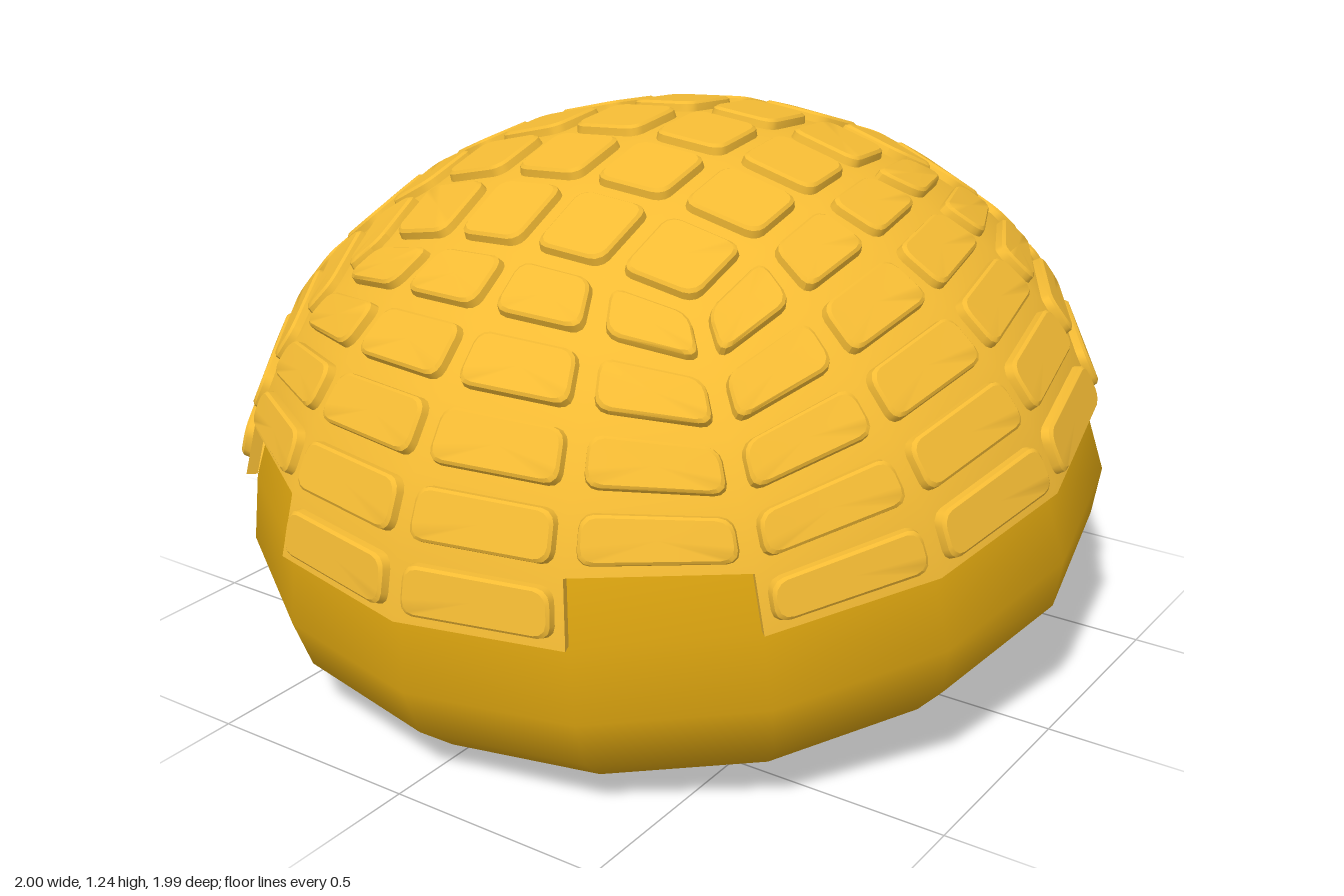
import * as THREE from 'three';
import { mergeVertices, toCreasedNormals } from 'three/addons/utils/BufferGeometryUtils.js';

const STEP = Math.PI / 8; // sixteen columns round the bun
const MID_Y = 0.39; // height of the widest ring
const V = (x, y, z) => new THREE.Vector3(x, y, z);
const { clamp, degToRad, lerp } = THREE.MathUtils;

// Point of the crust dome, from the angle off the pole and the angle round it
function domePoint(theta, az) {
  const r = 1.01 * Math.sin(theta);
  return V(r * Math.sin(az), MID_Y + 0.822 * Math.cos(theta), r * Math.cos(az));
}

// Crown grid of 4 x 4 cells, gx and gz running from -2 to 2
function crownAngles(gx, gz) {
  const x = 0.22 * gx * (1 - 0.017 * gz * gz);
  const z = 0.22 * gz * (1 - 0.017 * gx * gx);
  return [Math.asin(Math.hypot(x, z) / 1.01), Math.atan2(x, z)];
}
const crownPoint = (gx, gz) => domePoint(...crownAngles(gx, gz));

// Side grid: columns hang from the border of the crown, five rows to the rim
function borderIndex(k) {
  k = ((k % 16) + 16) % 16;
  return k <= 8 ? clamp(4 - Math.abs(k - 4), -2, 2) : -clamp(4 - Math.abs(k - 12), -2, 2);
}
function sidePoint(k, row) {
  const [theta, az] = crownAngles(borderIndex(k), borderIndex(k + 4));
  const end = k * STEP;
  const turn = Math.atan2(Math.sin(end - az), Math.cos(end - az));
  // the rim hangs a little lower at the back
  const low = degToRad(78 + 5 * Math.max(0, -Math.cos(end)) ** 4);
  const th = row > 5 ? degToRad(88) : lerp(theta, low, row / 5);
  return domePoint(th, az + turn * Math.min(1, row / 4));
}

// All crust cells, each four corners counter-clockwise from outside
function crustCells() {
  const cells = [];
  for (let i = -2; i < 2; i++) {
    for (let j = -2; j < 2; j++) {
      cells.push([crownPoint(i, j + 1), crownPoint(i + 1, j + 1), crownPoint(i + 1, j), crownPoint(i, j)]);
    }
  }
  // rows per column, giving the ragged lower edge
  const rows = [5, 4, 5, 5, 5, 5, 4, 3, 4, 5, 6, 5, 4, 5, 4, 5];
  rows.forEach((n, k) => {
    for (let r = 0; r < n; r++) {
      cells.push([sidePoint(k, r + 1), sidePoint(k + 1, r + 1), sidePoint(k + 1, r), sidePoint(k, r)]);
    }
  });
  return cells;
}

function geometryFrom(points, crease) {
  const geo = new THREE.BufferGeometry().setFromPoints(points);
  return toCreasedNormals(mergeVertices(geo, 1e-4), crease);
}

// Crust sheet with a thin wall along its open edge
function crustSheet(cells) {
  const points = [];
  const edges = new Map();
  const key = (p) => [p.x, p.y, p.z].map((v) => Math.round(v * 1000)).join();
  const inward = (p) => V(p.x * 0.975, MID_Y + (p.y - MID_Y) * 0.975, p.z * 0.975);
  for (const c of cells) {
    points.push(c[0], c[1], c[2], c[0], c[2], c[3]);
    c.forEach((a, i) => {
      const b = c[(i + 1) % 4];
      const back = key(b) + '|' + key(a);
      if (edges.has(back)) edges.delete(back);
      else edges.set(key(a) + '|' + key(b), [a, b]);
    });
  }
  for (const [a, b] of edges.values()) {
    const a2 = inward(a), b2 = inward(b);
    points.push(b, a, a2, b, a2, b2);
  }
  return geometryFrom(points, 0.8);
}

// Raised tile with rounded corners and a bevelled rim, fitted into a cell
function addTile(points, [a, b, c, d]) {
  const normal = c.clone().sub(a).cross(d.clone().sub(b)).normalize();
  const w = (a.distanceTo(b) + c.distanceTo(d)) / 2;
  const h = (b.distanceTo(c) + d.distanceTo(a)) / 2;
  const ring = (margin, height) => {
    const out = [];
    const radius = 0.028;
    for (let q = 0; q < 4; q++) {
      const sx = q === 0 || q === 3 ? 1 : -1;
      const sy = q < 2 ? 1 : -1;
      for (let s = 0; s < 4; s++) {
        const ang = (q + s / 3) * Math.PI / 2;
        const x = sx * (w / 2 - margin - radius) + radius * Math.cos(ang);
        const y = sy * (h / 2 - margin - radius) + radius * Math.sin(ang);
        const bottom = a.clone().lerp(b, x / w + 0.5);
        const top = d.clone().lerp(c, x / w + 0.5);
        out.push(bottom.lerp(top, y / h + 0.5).addScaledVector(normal, height));
      }
    }
    return out;
  };
  const rings = [ring(0.02, -0.005), ring(0.023, 0.017), ring(0.029, 0.023)];
  const n = rings[0].length;
  const centre = rings[2].reduce((s, p) => s.add(p), V(0, 0, 0)).divideScalar(n);
  for (let i = 0; i < n; i++) {
    const j = (i + 1) % n;
    for (let k = 0; k < 2; k++) {
      const lo = rings[k], hi = rings[k + 1];
      points.push(lo[i], lo[j], hi[j], lo[i], hi[j], hi[i]);
    }
    points.push(rings[2][i], rings[2][j], centre);
  }
}

// Soft bun body with a gently rounded underside
function bunBody() {
  const profile = [[0, 0.06], [0.4, 0.07], [0.68, 0.105], [0.89, 0.175], [0.975, 0.27], [1, 0.39]]
    .map(([r, y]) => new THREE.Vector2(r, y));
  for (let deg = 78; deg >= 0; deg -= 13) {
    const t = degToRad(deg);
    profile.push(new THREE.Vector2(0.985 * Math.sin(t), MID_Y + 0.785 * Math.cos(t)));
  }
  return new THREE.LatheGeometry(profile, 16);
}

export function createModel() {
  const model = new THREE.Group();
  model.name = 'bun';
  const bodyMaterial = new THREE.MeshStandardMaterial({ color: 0xd9a20f });
  const crustMaterial = new THREE.MeshStandardMaterial({ color: 0xf4bb34, side: THREE.DoubleSide });

  const tilted = new THREE.Group();
  tilted.name = 'tiltedBun';
  tilted.rotation.x = 0.175;
  model.add(tilted);

  const add = (name, geometry, material) => {
    const mesh = new THREE.Mesh(geometry, material);
    mesh.name = name;
    mesh.position.z = -0.08;
    tilted.add(mesh);
  };

  const cells = crustCells();
  const tilePoints = [];
  cells.forEach((cell) => addTile(tilePoints, cell));

  add('bunBody', bunBody(), bodyMaterial);
  add('crustSheet', crustSheet(cells), crustMaterial);
  add('crustTiles', geometryFrom(tilePoints, 0.6), crustMaterial);
  return model;
}
